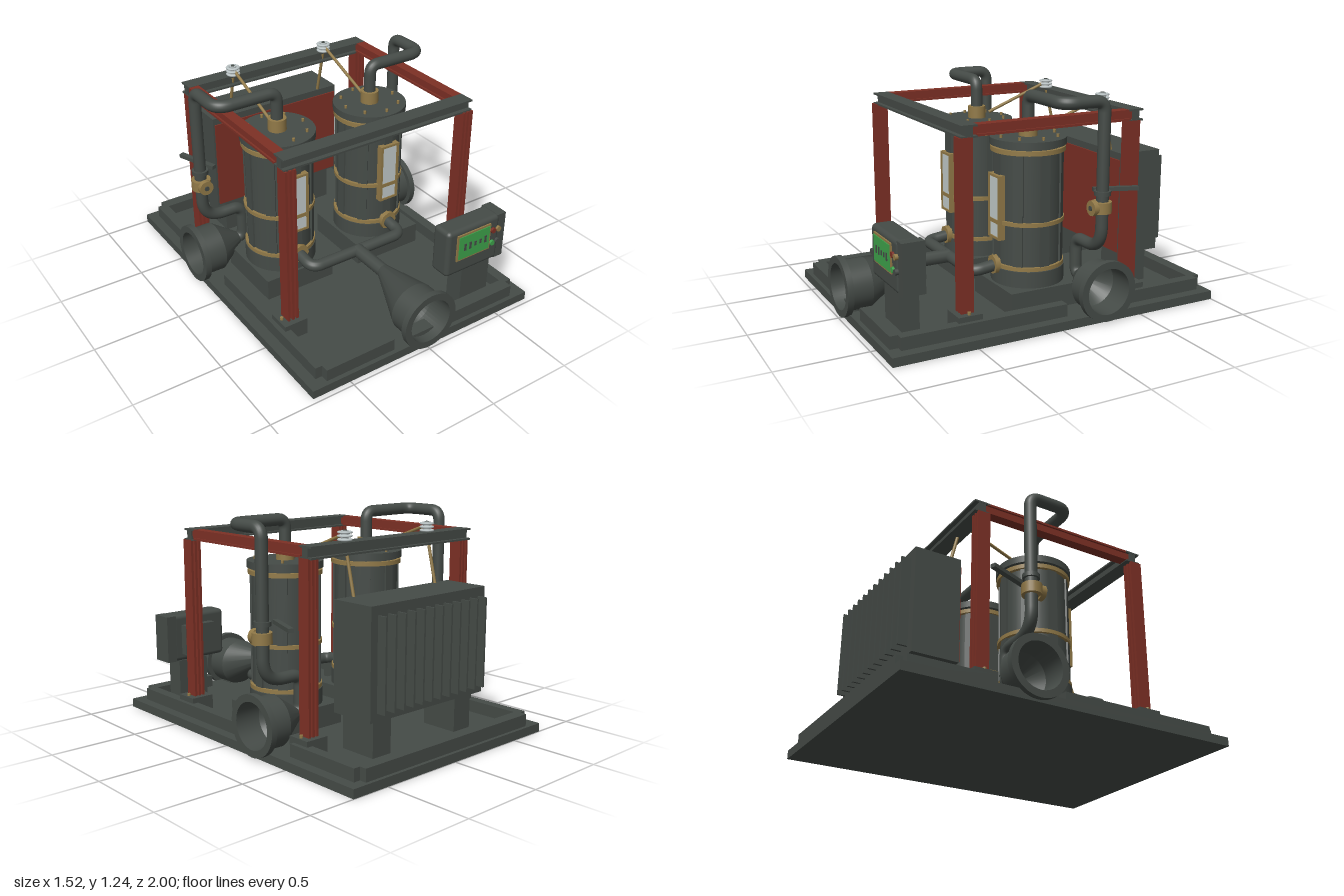
import * as THREE from 'three';
import { toCreasedNormals } from 'three/addons/utils/BufferGeometryUtils.js';
import { RoundedBoxGeometry } from 'three/addons/geometries/RoundedBoxGeometry.js';

const mat = (name, color, extra = {}) => {
  const m = new THREE.MeshStandardMaterial({ color, ...extra });
  m.name = name;
  return m;
};
const steel = mat('dark steel', 0x454b47);
const red = mat('red oxide', 0x7d3025);
const brass = mat('brass', 0x927a48);
const glass = mat('pale glass', 0xc3cccb);
const green = mat('screen green', 0x3da24b);
const porcelain = mat('insulator grey', 0xbcc5c6);

export function createModel() {
  const root = new THREE.Group();
  root.name = 'processingSkid';

  const add = (name, geo, m, x = 0, y = 0, z = 0, parent = root) => {
    const mesh = new THREE.Mesh(geo, m);
    mesh.name = name;
    mesh.position.set(x, y, z);
    parent.add(mesh);
    return mesh;
  };
  // Box given by its limits on each axis
  const box = (name, m, x0, x1, y0, y1, z0, z1) =>
    add(name, new THREE.BoxGeometry(Math.abs(x1 - x0), y1 - y0, z1 - z0), m,
      (x0 + x1) / 2, (y0 + y1) / 2, (z0 + z1) / 2);
  // Upright cylinder given by its bottom and top
  const cyl = (name, m, r, x, z, y0, y1, sides = 32) =>
    add(name, new THREE.CylinderGeometry(r, r, y1 - y0, sides), m, x, (y0 + y1) / 2, z);
  // Cylinder facing along z
  const disc = (name, m, r, x, y, z, depth, sides = 24) =>
    add(name, new THREE.CylinderGeometry(r, r, depth, sides).rotateX(Math.PI / 2), m, x, y, z);
  // Straight rod between two points
  const rod = (name, m, r, a, b) => {
    const p = new THREE.Vector3(...a), q = new THREE.Vector3(...b);
    return add(name, new THREE.TubeGeometry(new THREE.LineCurve3(p, q), 1, r, 10), m);
  };
  // Pipe through corner points [x, y, z, bend]
  const pipe = (name, pts, r) => {
    const path = new THREE.CurvePath();
    const v = pts.map((p) => new THREE.Vector3(p[0], p[1], p[2]));
    let last = v[0];
    for (let i = 1; i < v.length - 1; i++) {
      const bend = pts[i][3] ?? 0.06;
      const a = v[i].clone().add(v[i - 1].clone().sub(v[i]).setLength(bend));
      const b = v[i].clone().add(v[i + 1].clone().sub(v[i]).setLength(bend));
      path.add(new THREE.LineCurve3(last, a));
      path.add(new THREE.QuadraticBezierCurve3(a, v[i], b));
      last = b;
    }
    path.add(new THREE.LineCurve3(last, v[v.length - 1]));
    return add(name, new THREE.TubeGeometry(path, 36 * v.length, r, 18), steel);
  };
  // Hollow flanged mouth tapering to a pipe, running along +y; the taper may climb
  const nozzle = (barrel, len) => {
    const profile = [[0, len - 0.005], [0.032, len - 0.005], [0.128, barrel], [0.13, 0], [0.17, 0],
      [0.17, 0.035], [0.142, 0.035], [0.142, barrel], [0.04, len]];
    const g = new THREE.LatheGeometry(profile.map((p) => new THREE.Vector2(...p)), 40);
    return toCreasedNormals(g, 0.35);
  };

  // Base plate and curb rails
  box('basePlate', steel, -0.73, 0.73, 0, 0.05, -1, 0.97);
  box('backRail', steel, -0.63, 0.63, 0.05, 0.12, -0.98, -0.91);
  for (const s of [-1, 1]) {
    box('frontRail', steel, s * 0.2, s * 0.63, 0.05, 0.12, 0.87, 0.945);
    box('sideRailFront', steel, s * 0.61, s * 0.67, 0.05, 0.12, -0.06, 0.9);
    box('sideRailBack', steel, s * 0.61, s * 0.67, 0.05, 0.12, -0.94, -0.47);
  }

  // Frame: footplates, ribbed columns and top beams
  for (const sz of [-1, 1]) {
    const z = sz * 0.505;
    for (const s of [-1, 1]) {
      box('footBlock', steel, s * 0.505, s * 0.645, 0.05, 0.15, z - 0.068, z + 0.068);
      for (const bx of [0.525, 0.625]) cyl('footBolt', brass, 0.01, s * bx, z, 0.15, 0.165, 8);
      box('columnWeb', red, s * 0.545, s * 0.6, 0.15, 1.07, z - 0.008, z + 0.008);
      for (const fx of [0.547, 0.573, 0.599])
        box('columnFlange', red, s * (fx - 0.007), s * (fx + 0.007), 0.15, 1.07, z - 0.037, z + 0.037);
    }
    const zb = sz * 0.5 - 0.015;
    box('crossBeamWeb', steel, -0.604, 0.604, 1.07, 1.13, zb - 0.02, zb + 0.02);
    for (const y of [1.066, 1.122]) box('crossBeamFlange', steel, -0.605, 0.605, y, y + 0.01, zb - 0.046, zb + 0.046);
  }
  for (const s of [-1, 1]) {
    box('sideBeamWeb', red, s * 0.556, s * 0.594, 1.08, 1.12, -0.5, 0.47);
    for (const y of [1.071, 1.119]) box('sideBeamFlange', red, s * 0.545, s * 0.605, y, y + 0.012, -0.48, 0.44);
  }

  // Front inlet, its taper climbing towards the manifold
  const inlet = nozzle(0.155, 0.42).rotateX(-Math.PI / 2).translate(0, 0.182, 0.995);
  const pos = inlet.attributes.position;
  for (let i = 0; i < pos.count; i++) {
    const t = Math.max(0, (0.84 - pos.getZ(i)) / 0.265);
    pos.setY(i, pos.getY(i) + 0.075 * t);
  }
  add('frontInlet', inlet, steel);
  box('inletSaddle', steel, -0.07, 0.07, 0.04, 0.08, 0.86, 0.94);
  rod('inletPipe', steel, 0.04, [0, 0.257, 0.59], [0, 0.257, 0.33]);
  pipe('manifold', [[-0.312, 0.28, 0.15], [-0.312, 0.257, 0.33], [0.312, 0.257, 0.33], [0.312, 0.28, 0.15]], 0.033);

  const zv = -0.012;
  for (const s of [-1, 1]) {
    const x = s * 0.312;

    // Vessel
    box('vesselPlinth', steel, x - 0.22, x + 0.22, 0.05, 0.175, zv - 0.22, zv + 0.22);
    cyl('vesselSkirt', steel, 0.205, x, zv, 0.175, 0.265, 40);
    cyl('vesselBody', steel, 0.187, x, zv, 0.265, 0.945, 40);
    cyl('vesselLid', steel, 0.212, x, zv, 0.945, 0.985, 40);
    for (const [y0, y1, r] of [[0.91, 0.935, 0.207], [0.518, 0.54, 0.203], [0.268, 0.29, 0.203]])
      cyl('vesselBand', brass, r, x, zv, y0, y1, 40);
    for (let i = 0; i < 8; i++) {
      const a = (i * Math.PI) / 4;
      const strip = add('vesselStrip', new THREE.BoxGeometry(0.055, 0.645, 0.02), steel,
        x + Math.sin(a) * 0.185, 0.59, zv + Math.cos(a) * 0.185);
      strip.rotation.y = a;
      cyl('lidBolt', brass, 0.008, x + Math.sin(a) * 0.167, zv + Math.cos(a) * 0.167, 0.985, 1.002, 8);
    }
    cyl('vesselNeck', brass, 0.052, x, zv, 0.985, 1.055, 24);
    disc('vesselInletCollar', brass, 0.055, x, 0.28, 0.195, 0.03, 8);

    // Sight glass
    box('sightGlass', glass, x - 0.05, x + 0.05, 0.44, 0.78, 0.17, 0.196);
    for (const k of [-1, 1]) {
      box('sightFrameSide', brass, x + k * 0.048, x + k * 0.063, 0.43, 0.79, 0.15, 0.202);
      const y = 0.61 + k * 0.1735;
      box('sightFrameEnd', brass, x - 0.062, x + 0.062, y - 0.0065, y + 0.0065, 0.15, 0.202);
    }
    box('sightBand', brass, x - 0.06, x + 0.06, 0.518, 0.54, 0.17, 0.2);

    // Overhead pipe down to the side outlet
    pipe('overheadPipe', [[x, 0.99, zv], [x, 1.207, zv, 0.055], [s * 0.675, 1.207, zv, 0.085],
      [s * 0.675, 1.207, -0.262, 0.06], [s * 0.675, 0.4, -0.262, 0.13], [s * 0.425, 0.4, -0.262, 0.06],
      [s * 0.425, 0.185, -0.262, 0.06], [s * 0.53, 0.185, -0.262]], 0.034);
    add('sideOutlet', nozzle(0.15, 0.3).rotateZ(s * Math.PI / 2), steel, s * 0.76, 0.182, -0.266);
    // Valve and pipe bracket
    cyl('valveBody', brass, 0.055, s * 0.675, -0.258, 0.607, 0.668, 24);
    disc('valveCap', brass, 0.042, s * 0.675, 0.637, -0.205, 0.03, 16);
    disc('valveHub', steel, 0.014, s * 0.675, 0.637, -0.188, 0.008, 12);
    cyl('pipeClamp', steel, 0.046, s * 0.675, -0.262, 0.702, 0.726, 24);
    const arm = add('clampArm', new THREE.BoxGeometry(0.03, 0.022, 0.25), steel, s * 0.632, 0.714, -0.375);
    arm.rotation.y = -s * 0.36;

    // Insulator and conductors
    cyl('insulatorCore', porcelain, 0.02, x, -0.49, 1.125, 1.185, 20);
    for (const y of [1.137, 1.156, 1.175]) {
      const shed = add('insulatorShed', new THREE.TorusGeometry(0.03, 0.011, 8, 24).rotateX(Math.PI / 2), porcelain, x, y, -0.49);
      shed.scale.y = 0.6;
    }
    cyl('insulatorTip', steel, 0.011, x, -0.49, 1.18, 1.188, 12);
    rod('conductor', brass, 0.009, [x, 1.155, -0.46], [x, 1.01, -0.09]);
    rod('feeder', brass, 0.009, [x, 1.13, -0.49], [x, 0.84, -0.56]);
  }

  // Finned transformer tank at the back
  box('tank', steel, -0.435, 0.435, 0.255, 0.85, -0.81, -0.545);
  box('tankFrontPanel', red, -0.425, 0.425, 0.265, 0.81, -0.545, -0.537);
  for (let i = 0; i < 12; i++) {
    const x = -0.382 + i * 0.0695;
    box('coolingFin', steel, x - 0.006, x + 0.006, 0.3, 0.8, -0.865, -0.81);
  }
  for (const s of [-1, 1]) box('tankFoot', steel, s * 0.25, s * 0.38, 0.05, 0.256, -0.775, -0.555);

  // Control panel
  box('panelStand', steel, 0.33, 0.53, 0.05, 0.3, 0.74, 0.85);
  box('panelBackPlate', steel, 0.3, 0.51, 0.34, 0.52, 0.69, 0.74);
  add('panelCase', new RoundedBoxGeometry(0.37, 0.285, 0.13, 3, 0.025), steel, 0.385, 0.44, 0.802);
  box('panelSideBox', steel, 0.55, 0.612, 0.3, 0.58, 0.735, 0.862);
  box('screenFrame', brass, 0.26, 0.497, 0.39, 0.553, 0.86, 0.875);
  box('screen', green, 0.271, 0.486, 0.401, 0.542, 0.872, 0.88);
  [0.043, 0.043, 0.026, 0.026, 0.043].forEach((h, i) => {
    const x = 0.312 + i * 0.036;
    box('screenBar', steel, x - 0.007, x + 0.007, 0.472 - h / 2, 0.472 + h / 2, 0.879, 0.883);
  });
  for (const [m, x, y] of [[red, 0.518, 0.5], [brass, 0.555, 0.498], [green, 0.516, 0.42], [steel, 0.555, 0.42]])
    disc('panelButton', m, 0.016, x, y, 0.869, 0.022);

  return root;
}
